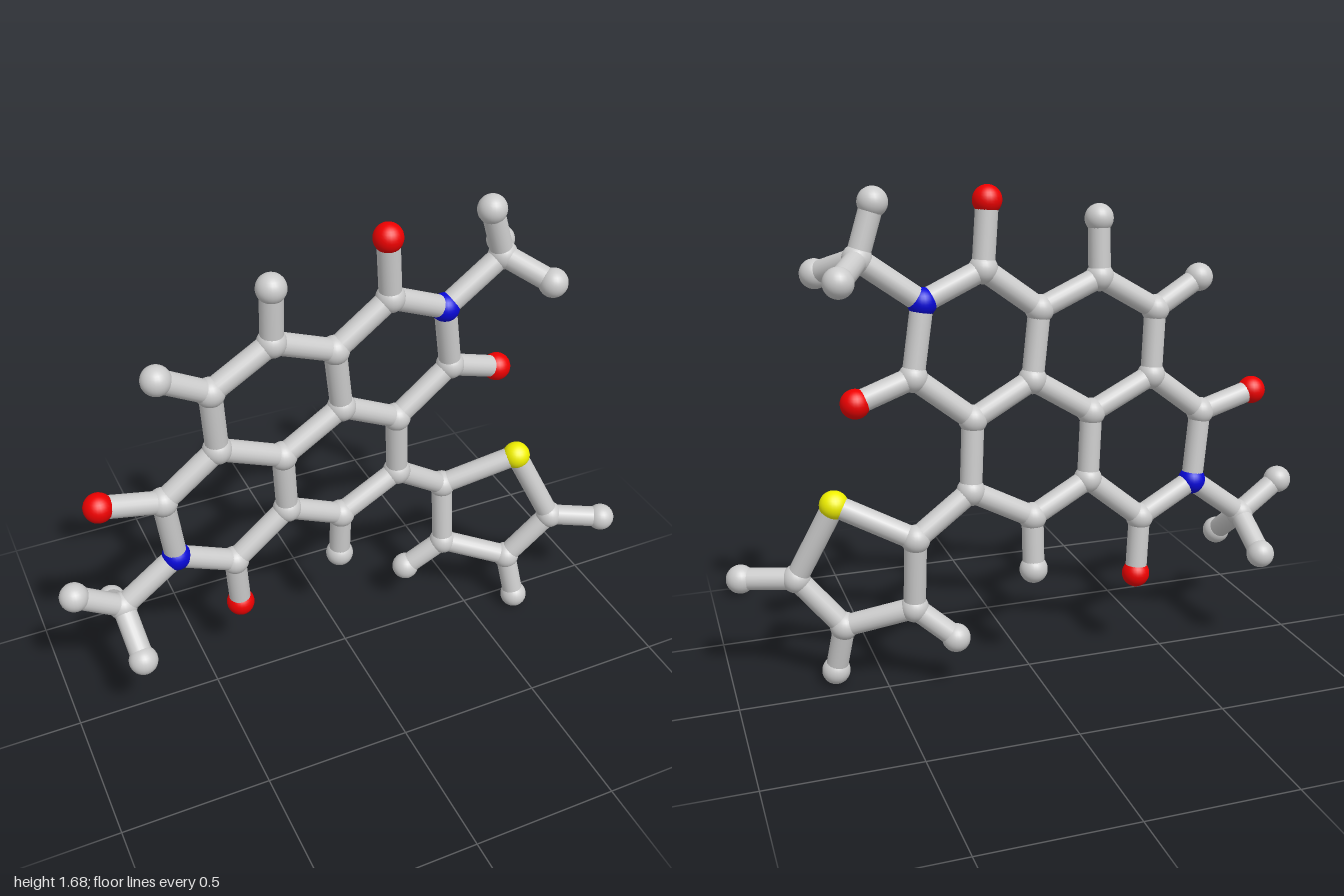
import * as THREE from 'three';

const ATOM_RADIUS = 0.048;
const BOND_RADIUS = 0.037;

const material = (color) => new THREE.MeshStandardMaterial({ color });
const MATERIALS = {
  carbon: material(0xcccccc),
  hydrogen: material(0xcccccc),
  oxygen: material(0xee0000),
  nitrogen: material(0x0808d8),
  sulfur: material(0xf0f000),
};

// The fused ring core lies in one slightly tilted plane.
const planar = (x, y) => [x, y, -0.074 - 0.059 * x + 0.065 * y];

const ATOMS = {
  // fused ring carbons
  c1: planar(-0.255, 1.355), c2: planar(-0.46, 1.235), c3: planar(-0.445, 1.01),
  c4: planar(-0.22, 0.905), c5: planar(-0.01, 1.035), c6: planar(-0.04, 1.265),
  c7: planar(0.15, 1.405), c8: planar(0.395, 1.08), c9: planar(0.2, 0.925),
  c10: planar(0.215, 0.685), c11: planar(0, 0.57), c12: planar(-0.205, 0.675),
  c13: planar(-0.4, 0.515), c14: planar(-0.635, 0.865),
  // atoms set into and around the core
  n1: planar(0.355, 1.315), n2: planar(-0.605, 0.62),
  o1: planar(0.13, 1.62), o2: planar(0.585, 1.015),
  o3: planar(-0.385, 0.31), o4: planar(-0.84, 0.92),
  h1: planar(-0.255, 1.545), h2: planar(-0.625, 1.33), h3: planar(0, 0.385),
  // upper methyl group
  c15: [0.555, 1.46, -0.01], h4: [0.5, 1.63, -0.003],
  h5: [0.665, 1.4, 0.125], h6: [0.645, 1.42, -0.175],
  // lower methyl group
  c16: [-0.8, 0.475, 0.003], h7: [-0.953, 0.58, 0.015],
  h8: [-0.787, 0.355, 0.15], h9: [-0.805, 0.375, -0.155],
  // five-sided side ring
  c17: [0.41, 0.55, -0.065], s1: [0.655, 0.665, 0.027],
  c18: [0.78, 0.4, 0.09], c19: [0.635, 0.225, 0.05], c20: [0.415, 0.3, -0.045],
  h10: [0.952, 0.39, 0.17], h11: [0.663, 0.05, 0.085], h12: [0.285, 0.19, -0.085],
};

// Each chain joins its atoms one after the other.
const CHAINS = [
  'c1 c2 c3 c4 c5 c6 c1',
  'c6 c7 n1 c8 c9 c5',
  'c9 c10 c11 c12 c4',
  'c12 c13 n2 c14 c3',
  'c10 c17 s1 c18 c19 c20 c17',
  'c7 o1', 'c8 o2', 'c13 o3', 'c14 o4',
  'c1 h1', 'c2 h2', 'c11 h3',
  'n1 c15 h4', 'c15 h5', 'c15 h6',
  'n2 c16 h7', 'c16 h8', 'c16 h9',
  'c18 h10', 'c19 h11', 'c20 h12',
];

const ELEMENTS = { c: 'carbon', h: 'hydrogen', o: 'oxygen', n: 'nitrogen', s: 'sulfur' };

export function createModel() {
  const model = new THREE.Group();
  model.name = 'molecule';
  const atoms = new THREE.Group();
  atoms.name = 'atoms';
  const bonds = new THREE.Group();
  bonds.name = 'bonds';
  model.add(atoms, bonds);

  // Atom balls
  const ball = new THREE.SphereGeometry(ATOM_RADIUS, 24, 16);
  for (const [key, position] of Object.entries(ATOMS)) {
    const element = ELEMENTS[key[0]];
    const atom = new THREE.Mesh(ball, MATERIALS[element]);
    atom.name = `${element}Atom`;
    atom.position.set(...position);
    atoms.add(atom);
  }

  // Bond sticks, open because their ends sit inside the balls
  const stick = new THREE.CylinderGeometry(BOND_RADIUS, BOND_RADIUS, 1, 20, 1, true);
  const up = new THREE.Vector3(0, 1, 0);
  for (const chain of CHAINS) {
    const points = chain.split(' ').map((key) => new THREE.Vector3(...ATOMS[key]));
    for (let i = 1; i < points.length; i++) {
      const span = points[i].clone().sub(points[i - 1]);
      const bond = new THREE.Mesh(stick, MATERIALS.carbon);
      bond.name = 'bond';
      bond.position.copy(points[i]).add(points[i - 1]).multiplyScalar(0.5);
      bond.scale.y = span.length();
      bond.quaternion.setFromUnitVectors(up, span.normalize());
      bonds.add(bond);
    }
  }
  return model;
}
